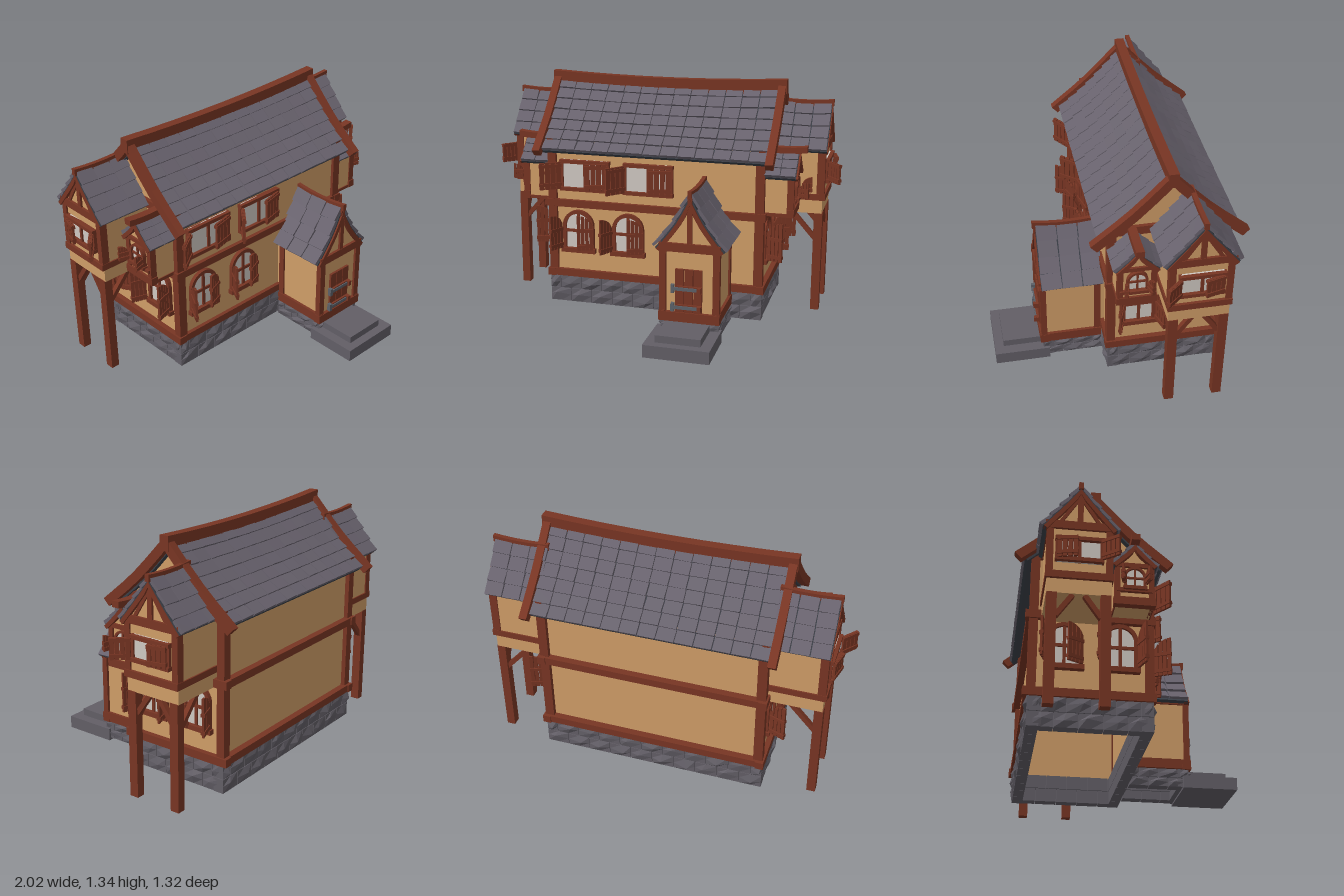
import * as THREE from 'three';
import { mergeGeometries } from 'three/addons/utils/BufferGeometryUtils.js';

const material = (name, color) => {
  const m = new THREE.MeshStandardMaterial({ color });
  m.name = name;
  return m;
};
const plaster = material('tan plaster', 0xcf9d67);
const wood = material('red brown wood', 0x783523);
const slate = material('purple grey slate', 0x68626d);
const underlay = material('dark roof underlay', 0x3a3f47);
const stone = material('foundation stone', 0x625e66);
const glass = material('pale glass', 0xcfc8c2);
const iron = material('hinge iron', 0x5c6068);

let seed = 7;
const rnd = () => ((seed = (seed * 16807) % 2147483647) / 2147483647);

function add(g, name, geo, mat) {
  const m = new THREE.Mesh(geo, mat);
  m.name = name;
  g.add(m);
  return m;
}
function group(parent, name, x = 0, y = 0, z = 0, ry = 0) {
  const g = new THREE.Group();
  g.name = name;
  g.position.set(x, y, z);
  g.rotation.y = ry;
  parent.add(g);
  return g;
}
function box(g, name, mat, x0, x1, y0, y1, z0, z1) {
  const m = add(g, name, new THREE.BoxGeometry(Math.abs(x1 - x0), y1 - y0, z1 - z0), mat);
  m.position.set((x0 + x1) / 2, (y0 + y1) / 2, (z0 + z1) / 2);
  return m;
}
// slanted beam in the xy plane
function bar(g, name, ax, ay, bx, by, w, z0, z1) {
  const m = add(g, name, new THREE.BoxGeometry(Math.hypot(bx - ax, by - ay), w, z1 - z0), wood);
  m.position.set((ax + bx) / 2, (ay + by) / 2, (z0 + z1) / 2);
  m.rotation.z = Math.atan2(by - ay, bx - ax);
}
const extrude = (shape, z0, z1, steps = 1) =>
  new THREE.ExtrudeGeometry(shape, { depth: z1 - z0, steps, bevelEnabled: false, curveSegments: 8 }).translate(0, 0, z0);

// roof outline: half profile from ridge to eave
const curveOf = (prof) => new THREE.SplineCurve(prof.map((p) => new THREE.Vector2(...p)));
function inset(prof, th) {
  const pts = curveOf(prof).getPoints(6), e = pts[6];
  const dx = e.x, dy = pts[0].y - e.y, len = Math.hypot(dx, dy);
  return pts.map((p, i) => i ? new THREE.Vector2(Math.max(0.001, p.x - th * dy / len), p.y - th * dx / len)
    : new THREE.Vector2(0, p.y - th * len / dx));
}
const both = (pts) => [...pts.slice(1).reverse().map((p) => new THREE.Vector2(-p.x, p.y)), ...pts];
const strip = (prof, a, b) => new THREE.Shape([...both(inset(prof, a)), ...both(inset(prof, b)).reverse()]);

// house cross-section up to the roof
function gableShape(prof, hw, y0, yEave) {
  const top = inset(prof, 0.025).filter((p) => p.x < hw - 0.01 && p.y > yEave);
  return new THREE.Shape([new THREE.Vector2(-hw, y0), new THREE.Vector2(-hw, yEave), ...both(top),
    new THREE.Vector2(hw, yEave), new THREE.Vector2(hw, y0)]);
}

// gabled roof with its ridge along z, tiles, barge boards and sagging ridge
function gableRoof(g, name, o) {
  const { prof, z0, z1, rows, cols, sag, barge } = o;
  const r = group(g, name), c = curveOf(prof), tiles = [], yr = prof[0][1], ye = prof[2][1];
  const zc = (z0 + z1) / 2, half = (z1 - z0) / 2;
  const bend = (geo) => {
    const p = geo.attributes.position;
    for (let i = 0; i < p.count; i++) {
      const k = Math.min(1, Math.max(0, (p.getY(i) - ye) / (yr - ye)));
      p.setY(i, p.getY(i) - sag * k * (1 - ((p.getZ(i) - zc) / half) ** 2));
    }
    geo.computeVertexNormals();
    return geo;
  };
  add(r, 'roofDeck', bend(extrude(strip(prof, 0.006, 0.026), z0, z1, 6)), underlay);
  for (const side of [0, 1]) for (let i = 0; i < rows; i++) for (let j = 0; j < cols; j++) {
    const a = c.getPointAt(i / rows), b = c.getPointAt(Math.min(1, (i + 1.02) / rows));
    const ang = Math.atan2(b.y - a.y, b.x - a.x), w = (z1 - z0) / cols;
    const t = new THREE.BoxGeometry(a.distanceTo(b) * 0.97, 0.014 + rnd() * 0.006, w * (0.93 + rnd() * 0.04));
    t.rotateY((rnd() - 0.5) * 0.06).rotateZ(ang + 0.1 + rnd() * 0.06);
    t.translate((a.x + b.x) / 2 - Math.sin(ang) * 0.004, (a.y + b.y) / 2 + 0.002, 0);
    if (side) t.rotateY(Math.PI);
    tiles.push(t.translate(0, 0, z0 + (j + 0.5) * w));
  }
  add(r, 'roofTiles', bend(mergeGeometries(tiles)), slate);
  const bp = o.bargeProf || prof;
  for (const [a, b] of o.ends) add(r, 'bargeBoard', extrude(strip(bp, o.bargeTop, o.bargeTop + barge), a, b), wood);
  const [w, b, t, ra, rb] = o.ridge;
  add(r, 'ridgeBeam', bend(new THREE.BoxGeometry(w, t - b, rb - ra, 1, 1, 8).translate(0, (b + t) / 2, (ra + rb) / 2)), wood);
}

// plank shutter, hinged at hx and closing towards dir
function shutter(g, hx, dir, y0, y1, w, deg, z, arch = 0) {
  const s = group(g, 'shutter', hx, 0, z, -dir * deg * Math.PI / 180), planks = [], n = 4;
  for (let i = 0; i < n; i++) {
    const geo = new THREE.BoxGeometry(w / n * 0.84, 1, 0.012).translate(dir * (i + 0.5) * w / n, 0, 0);
    const p = geo.attributes.position;
    for (let k = 0; k < p.count; k++) {
      const d = 1 - Math.abs(p.getX(k)) / w;
      p.setY(k, p.getY(k) > 0 ? y1 - arch * (1 - Math.sqrt(Math.max(0, 1 - d * d))) : y0);
    }
    geo.computeVertexNormals();
    planks.push(geo);
  }
  add(s, 'shutterPlanks', mergeGeometries(planks), wood);
  const h = y1 - arch - y0;
  for (const f of [0.12, 0.82]) box(s, 'shutterRail', wood, 0, dir * w, y0 + h * f, y0 + h * f + 0.018, -0.011, 0.011);
}

function archShape(hw, y0, y1) {
  const s = new THREE.Shape();
  s.moveTo(-hw, y0).lineTo(hw, y0).lineTo(hw, y1 - hw);
  s.absarc(0, y1 - hw, hw, 0, Math.PI, false);
  return s;
}
function archWindow(g, cx, hw, y0, y1, z, degL, degR, flip = 1) {
  const w = group(g, 'archedWindow', cx, 0, z), f = hw * 0.22, mid = y0 + (y1 - y0) * 0.5;
  const frame = archShape(hw, y0, y1);
  frame.holes.push(archShape(hw - f, y0 + f, y1 - f));
  add(w, 'windowFrame', extrude(frame, -0.01, 0.02), wood);
  add(w, 'windowGlass', extrude(archShape(hw - f, y0 + f, y1 - f), 0, 0.006), glass);
  box(w, 'mullion', wood, -f * 0.4, f * 0.4, y0, y1 - f, 0, 0.015);
  box(w, 'transom', wood, -hw + f, hw - f, mid - f * 0.4, mid + f * 0.4, 0, 0.015);
  box(w, 'windowSill', wood, -hw * 1.1, hw * 1.1, y0 - 0.006, y0 + f, -0.01, 0.03);
  shutter(w, -flip * hw, flip, y0 + 0.02, y1 - 0.02, hw, degL, 0.03, hw * 0.8);
  shutter(w, flip * hw, -flip, y0 + 0.02, y1 - 0.02, hw, degR, 0.03, hw * 0.8);
}
// wide window: the far shutter covers one half, the near one stands open
function wideWindow(g, x0, x1, y0, y1, z, degL, degR, flip = 1) {
  const w = group(g, 'wideWindow', 0, 0, z), wid = Math.abs(x1 - x0) / 2;
  box(w, 'windowGlass', glass, x0, x1, y0, y1, -0.004, 0.005);
  for (const y of [y0, y1 - 0.02]) box(w, 'windowRail', wood, x0 - flip * 0.01, x1 + flip * 0.01, y, y + 0.02, -0.01, 0.025);
  for (const x of [x0, x1, (x0 + x1) / 2]) box(w, 'windowStile', wood, x - 0.008, x + 0.008, y0, y1, -0.01, 0.015);
  shutter(w, x0, flip, y0 + 0.012, y1 - 0.012, wid * 0.93, degL, 0.025);
  shutter(w, x1, -flip, y0 + 0.012, y1 - 0.012, wid * 0.93, degR, 0.025);
}

// rows of rough blocks facing +z
function stoneRun(g, len, y0, y1, n, x, z, ry) {
  const s = group(g, 'stoneWall', x, 0, z, ry), blocks = [], h = (y1 - y0) / 2;
  for (let r = 0; r < 2; r++) for (let i = 0; i < n + r; i++) {
    const a = Math.max(0, i - r / 2) / n * len, b = Math.min(n, i + 1 - r / 2) / n * len;
    const geo = new THREE.BoxGeometry(b - a - 0.003, h - 0.003, 0.06, 2, 2, 1), p = geo.attributes.position;
    for (let k = 0; k < p.count; k++) if (p.getZ(k) > 0 && Math.abs(p.getX(k)) < 1e-5 && Math.abs(p.getY(k)) < 1e-5)
      p.setXYZ(k, (rnd() - 0.5) * 0.05, (rnd() - 0.5) * 0.03, p.getZ(k) + 0.008 + rnd() * 0.012);
    blocks.push(geo.translate((a + b - len) / 2, y0 + h * (r + 0.5), -0.03).toNonIndexed());
  }
  const merged = mergeGeometries(blocks);
  merged.computeVertexNormals();
  add(s, 'stoneBlocks', merged, stone);
}

export function createModel() {
  const model = new THREE.Group();
  model.name = 'timberHouse';
  const Z = -0.245, mainProf = [[0, 1.295], [0.19, 1.09], [0.36, 0.94]];

  // foundation and hollow main walls
  stoneRun(model, 1.25, 0.025, 0.185, 10, 0, 0.063, 0);
  stoneRun(model, 1.25, 0.025, 0.185, 10, 0, -0.56, Math.PI);
  for (const s of [-1, 1]) stoneRun(model, 0.61, 0.025, 0.185, 5, s * 0.62, Z, s * Math.PI / 2);
  box(model, 'frontWall', plaster, -0.6, 0.6, 0.185, 0.99, 0.03, 0.05);
  box(model, 'backWall', plaster, -0.6, 0.6, 0.185, 0.99, -0.54, -0.52);
  const main = group(model, 'mainRoof', 0, 0, Z, Math.PI / 2);
  for (const a of [-0.605, 0.585]) add(main, 'gableWall', extrude(gableShape(mainProf, 0.295, 0.185, 0.97), a, a + 0.02), plaster);
  gableRoof(main, 'mainRoofCover', {
    prof: mainProf, z0: -0.64, z1: 0.64, rows: 7, cols: 13, sag: 0.018, barge: 0.05, bargeTop: 0,
    bargeProf: [[0, 1.335], [0.205, 1.12], [0.41, 0.945]], ends: [[-0.68, -0.637], [0.637, 0.68]], ridge: [0.052, 1.26, 1.338, -0.685, 0.685],
  });

  // main timber frame
  for (const s of [-1, 1]) {
    for (const [a, b] of [[0.022, 0.068], [-0.565, -0.52]]) box(model, 'cornerPost', wood, s * 0.575, s * 0.625, 0.185, 0.97, a, b);
    for (const y of [0.182, 0.602]) box(model, 'sideBeam', wood, s * 0.59, s * 0.635, y, y + 0.044, -0.585, 0.076);
    box(model, 'gableBeam', wood, s * 0.59, s * 0.625, 0.95, 0.998, -0.56, 0.068);
  }
  for (const y of [0.184, 0.602]) {
    box(model, 'frontBeam', wood, -0.62, 0.62, y, y + 0.042, 0.025, 0.072);
    box(model, 'backBeam', wood, -0.62, 0.62, y, y + 0.042, -0.578, -0.515);
  }

  // front windows
  archWindow(model, -0.447, 0.093, 0.34, 0.585, 0.052, 118, 22);
  archWindow(model, -0.15, 0.093, 0.34, 0.585, 0.052, 118, 22);
  wideWindow(model, -0.54, -0.265, 0.7, 0.88, 0.055, 145, 14);
  wideWindow(model, -0.165, 0.105, 0.7, 0.88, 0.055, 130, 14);

  // mirrored sides: two jettied bays and two ground floor windows
  for (const s of [-1, 1]) {
    const side = group(model, s > 0 ? 'leftSide' : 'rightSide', 0, 0, 0, s * Math.PI / 2);
    archWindow(side, s * 0.105, 0.092, 0.34, 0.6, 0.607, 108, 108, s);
    archWindow(side, s * 0.385, 0.092, 0.34, 0.59, 0.607, 28, 110, s);

    const bay = group(side, 'largeBay', s * 0.347), bp = [[0, 1.205], [0.08, 1.1], [0.19, 0.965]];
    add(bay, 'bayWalls', extrude(gableShape(bp, 0.158, 0.6, 0.975), 0.59, 0.908), plaster);
    for (const e of [-1, 1]) {
      box(bay, 'bayPost', wood, e * 0.13, e * 0.164, 0.7, 0.97, 0.875, 0.918);
      box(bay, 'baySideBeam', wood, e * 0.14, e * 0.166, 0.677, 0.712, 0.61, 0.918);
      box(bay, 'baySideTopBeam', wood, e * 0.14, e * 0.164, 0.955, 0.985, 0.61, 0.918);
      box(bay, 'bayLeg', wood, e * 0.106, e * 0.156, 0.025, 0.602, 0.865, 0.912);
      bar(bay, 'legBrace', e * 0.11, 0.485, e * 0.03, 0.6, 0.025, 0.875, 0.902);
      bar(bay, 'gableStrut', e * 0.1, 0.99, e * 0.012, 1.13, 0.018, 0.9, 0.918);
      bar(group(bay, 'wallBrace', e * 0.131, 0, 0, -Math.PI / 2), 'legBrace', 0.875, 0.445, 0.735, 0.602, 0.025, -0.013, 0.013);
    }
    box(bay, 'baySillBeam', wood, -0.166, 0.166, 0.677, 0.714, 0.88, 0.924);
    box(bay, 'bayTieBeam', wood, -0.172, 0.172, 0.955, 0.998, 0.88, 0.922);
    box(bay, 'kingPost', wood, -0.014, 0.014, 0.99, 1.18, 0.895, 0.92);
    wideWindow(bay, -s * 0.108, s * 0.112, 0.768, 0.905, 0.912, 140, 14, s);
    gableRoof(bay, 'bayRoof', {
      prof: bp, z0: 0.62, z1: 0.925, rows: 4, cols: 3, sag: 0.008, barge: 0.022, bargeTop: 0.012,
      ends: [[0.9, 0.93]], ridge: [0.024, 1.185, 1.222, 0.62, 0.935],
    });

    const dormer = group(side, 'smallBay', s * 0.055), dp = [[0, 0.98], [0.055, 0.918], [0.118, 0.857]];
    add(dormer, 'smallBayWalls', extrude(gableShape(dp, 0.094, 0.632, 0.865), 0.59, 0.772), plaster);
    for (const e of [-1, 1]) {
      box(dormer, 'smallBayPost', wood, e * 0.072, e * 0.1, 0.64, 0.86, 0.745, 0.782);
      box(dormer, 'smallBaySideBeam', wood, e * 0.08, e * 0.1, 0.632, 0.65, 0.61, 0.782);
    }
    box(dormer, 'smallBayBeam', wood, -0.106, 0.106, 0.632, 0.675, 0.745, 0.785);
    box(dormer, 'smallBaySill', wood, -0.09, 0.09, 0.703, 0.722, 0.76, 0.79);
    box(dormer, 'smallBayTieBeam', wood, -0.105, 0.105, 0.845, 0.868, 0.75, 0.785);
    archWindow(dormer, 0, 0.055, 0.718, 0.843, 0.774, 106, 106, s);
    gableRoof(dormer, 'smallBayRoof', {
      prof: dp, z0: 0.62, z1: 0.79, rows: 3, cols: 2, sag: 0.004, barge: 0.022, bargeTop: 0.008,
      ends: [[0.77, 0.8]], ridge: [0.044, 0.972, 1.006, 0.62, 0.835],
    });
  }

  // entrance porch
  const porch = group(model, 'porch', 0.292), pp = [[0, 0.825], [0.085, 0.665], [0.195, 0.52]];
  stoneRun(porch, 0.32, 0.01, 0.115, 2, 0, 0.393, 0);
  for (const s of [-1, 1]) stoneRun(porch, 0.33, 0.01, 0.115, 3, s * 0.155, 0.225, s * Math.PI / 2);
  add(porch, 'porchWalls', extrude(gableShape(pp, 0.15, 0.115, 0.55), 0.04, 0.388), plaster);
  for (const s of [-1, 1]) {
    box(porch, 'porchPost', wood, s * 0.128, s * 0.165, 0.115, 0.53, 0.37, 0.402);
    box(porch, 'porchRearPost', wood, s * 0.135, s * 0.16, 0.115, 0.53, 0.07, 0.106);
    box(porch, 'porchSideBeam', wood, s * 0.135, s * 0.166, 0.115, 0.17, 0.07, 0.404);
    box(porch, 'porchTopBeam', wood, s * 0.135, s * 0.16, 0.503, 0.53, 0.07, 0.4);
  }
  box(porch, 'porchSillBeam', wood, -0.168, 0.168, 0.112, 0.165, 0.36, 0.408);
  box(porch, 'porchTieBeam', wood, -0.168, 0.168, 0.503, 0.55, 0.36, 0.404);
  box(porch, 'kingPost', wood, -0.013, 0.013, 0.55, 0.8, 0.38, 0.402);
  gableRoof(porch, 'porchRoof', {
    prof: pp, z0: 0.06, z1: 0.395, rows: 4, cols: 3, sag: 0.012, barge: 0.024, bargeTop: 0.014,
    ends: [[0.375, 0.405]], ridge: [0.022, 0.8, 0.838, 0.06, 0.412],
  });

  // plank door with strap hinges
  const door = group(model, 'door', 0.289);
  for (let i = -1; i <= 1; i++) box(door, 'doorPlank', wood, i * 0.05 - 0.023, i * 0.05 + 0.023, 0.165, 0.408, 0.38, 0.402);
  for (const y of [0.182, 0.287]) {
    box(door, 'doorRail', wood, -0.06, 0.074, y, y + 0.03, 0.4, 0.414);
    box(door, 'strapHinge', iron, -0.088, 0.05, y + 0.006, y + 0.024, 0.412, 0.42);
    box(door, 'hingeKnuckle', iron, -0.094, -0.076, y - 0.008, y + 0.038, 0.4, 0.422);
    box(door, 'hingeEnd', wood, 0.052, 0.072, y, y + 0.03, 0.412, 0.43);
  }

  // entrance steps
  box(model, 'lowerStep', stone, 0.107, 0.465, 0, 0.07, 0.36, 0.662);
  box(model, 'upperStep', stone, 0.163, 0.407, 0.07, 0.11, 0.4, 0.613);
  return model;
}
